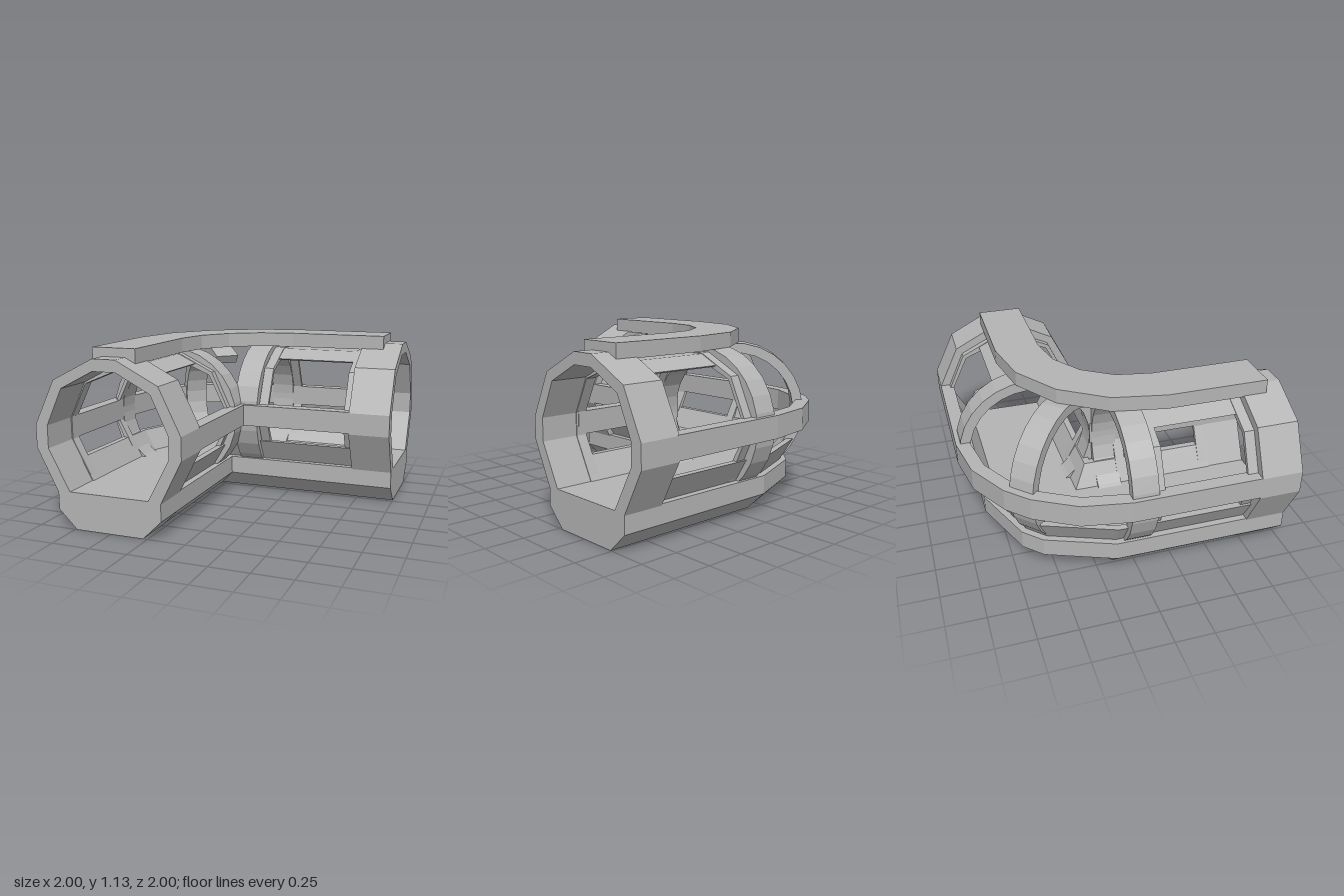
import * as THREE from 'three';

const CENTRE = -0.5075; // centre line of each arm
const PIVOT = -0.09; // centre of the outer bend

export function createModel() {
  const model = new THREE.Group();
  const grey = new THREE.MeshStandardMaterial({ color: 0xb4b4b4 });

  const add = (name, geometry) => {
    const mesh = new THREE.Mesh(geometry, grey);
    mesh.name = name;
    model.add(mesh);
    return mesh;
  };

  // Mirror a half outline (top to bottom) into a closed counter-clockwise one
  const mirrored = (half) => [...half.map(([u, y]) => [-u, y]), ...[...half].reverse()];
  const toPath = (pts) => pts.map(([u, y]) => new THREE.Vector2(u, y));
  const slab = (outer, hole, depth) => {
    const shape = new THREE.Shape(toPath(outer));
    if (hole) shape.holes.push(new THREE.Path(toPath(hole)));
    return new THREE.ExtrudeGeometry(shape, { depth, bevelEnabled: false });
  };

  // Place the same section on both arms, from distance a to b
  const onBothArms = (name, outer, hole, a, b, sideShift = 0) => {
    const geometry = slab(outer, hole, b - a);
    add(name + 'Front', geometry).position.set(CENTRE, 0, a);
    const side = add(name + 'Side', geometry);
    side.rotation.y = Math.PI / 2;
    side.position.set(a + sideShift, 0, CENTRE);
  };

  // Sweep a counter-clockwise section through stations mapping (x, y) to [X, Z]
  const sweep = (name, section, stations) => {
    const n = section.length;
    const rows = stations.map((st) => section.map(([x, y]) => {
      const [X, Z] = st(x, y);
      return [X, y, Z];
    }));
    const pos = [];
    const tri = (a, b, c) => pos.push(...a, ...b, ...c);
    for (let s = 0; s < rows.length - 1; s++) {
      for (let i = 0; i < n; i++) {
        const j = (i + 1) % n;
        tri(rows[s][i], rows[s + 1][i], rows[s + 1][j]);
        tri(rows[s][i], rows[s + 1][j], rows[s][j]);
      }
    }
    const last = rows[rows.length - 1];
    for (const [a, b, c] of THREE.ShapeUtils.triangulateShape(toPath(section), [])) {
      tri(rows[0][a], rows[0][b], rows[0][c]);
      tri(last[a], last[c], last[b]);
    }
    const geometry = new THREE.BufferGeometry();
    geometry.setAttribute('position', new THREE.Float32BufferAttribute(pos, 3));
    geometry.computeVertexNormals();
    return add(name, geometry);
  };

  // Path round the bend: the outer half turns on the pivot, the inner half is
  // mitred, and the edge on the ground cuts the corner in one straight line
  const bend = (end, angles, pivot = PIVOT, mitre = true) => [
    (x) => [x, end],
    ...angles.map((deg) => (x, y) => {
      if (mitre && x > -0.5) return [x, x];
      const t = THREE.MathUtils.degToRad(deg);
      const first = THREE.MathUtils.degToRad(angles[0]);
      const cut = y === 0 ? Math.cos(Math.PI / 4 - first) / Math.cos(Math.PI / 4 - t) : 1;
      const r = (pivot - x) * cut;
      return [pivot - r * Math.cos(t), pivot - r * Math.sin(t)];
    }),
    (x) => [end, x],
  ];
  const baseBend = [4, 39, 51, 86];
  const railBend = [0, 20, 39, 51, 70, 90];

  // Thick collars at both open ends
  const collar = mirrored([
    [0.0775, 1.075], [0.3525, 0.935], [0.4925, 0.65], [0.4925, 0.505],
    [0.3525, 0.23], [0.3525, 0.12], [0.23, 0],
  ]);
  const opening = mirrored([
    [0.0775, 1.0], [0.3, 0.885], [0.41, 0.65], [0.41, 0.505], [0.27, 0.24],
  ]);
  onBothArms('endCollar', collar, opening, 0.73, 1);

  // Recessed window frames next to the collars and ribs
  const frame = mirrored([
    [0.07, 1.015], [0.315, 0.895], [0.43, 0.65], [0.43, 0.505], [0.3, 0.22],
  ]);
  const frameHole = mirrored([
    [0.065, 0.97], [0.295, 0.875], [0.405, 0.65], [0.405, 0.505], [0.265, 0.24],
  ]);
  onBothArms('innerWindowFrame', frame, frameHole, 0.06, 0.125, 0.02);
  onBothArms('outerWindowFrame', frame, frameHole, 0.663, 0.735, 0.02);

  // Roof panel between the frames
  const roof = mirrored([[0.07, 1.01], [0.195, 0.95], [0.18, 0.94], [0.06, 0.965]]);
  onBothArms('roofPanel', roof, null, 0.07, 0.735);

  // Round ribs at the start of the bend
  const arc = (r, cy, from, to, steps) => Array.from({ length: steps + 1 }, (_, i) => {
    const a = THREE.MathUtils.degToRad(from + ((to - from) * i) / steps);
    return [Math.cos(a) * r, cy + Math.sin(a) * r];
  });
  const ring = (r) => arc(r, 0.572, 0, 360, 28).slice(0, -1);
  onBothArms('rib', ring(0.472), ring(0.405), -0.09, 0.075);

  // Open rib on the diagonal, from the floor outside to just past the spine
  const arch = [...arc(0.455, 0.58, -60, 122, 14), ...arc(0.39, 0.58, -60, 122, 14).reverse()];
  const archGeometry = slab(arch, null, 0.165);
  archGeometry.translate(0, 0, -0.0825);
  const diagonal = add('diagonalRib', archGeometry);
  diagonal.rotation.y = Math.PI * 0.75;
  diagonal.position.set(-0.38, 0, -0.38);

  // Floor base with chamfered lower edges
  sweep('base', [
    [-0.735, 0], [-0.28, 0], [-0.155, 0.12], [-0.155, 0.24], [-0.86, 0.24], [-0.86, 0.12],
  ], bend(0.74, baseBend));

  // Sloping lower wall panels
  sweep('outerLowerPanel', [
    [-0.81, 0.23], [-0.765, 0.23], [-0.855, 0.385], [-0.9, 0.385],
  ], bend(0.74, baseBend));
  sweep('innerLowerPanel', [
    [-0.25, 0.23], [-0.205, 0.23], [-0.115, 0.385], [-0.16, 0.385],
  ], bend(0.74, [45]));

  // Side rails at mid height
  sweep('outerRail', [
    [-1, 0.51], [-0.91, 0.51], [-0.91, 0.655], [-1, 0.655],
  ], bend(0.74, railBend));
  sweep('innerRail', [
    [-0.105, 0.51], [-0.015, 0.51], [-0.015, 0.655], [-0.105, 0.655],
  ], bend(0.74, [45]));

  // Flat curved spine along the top
  sweep('topSpine', [
    [-0.652, 1.035], [-0.362, 1.035], [-0.362, 1.13], [-0.652, 1.13],
  ], bend(0.88, [0, 22.5, 45, 67.5, 90], 0.23, false));

  return model;
}
